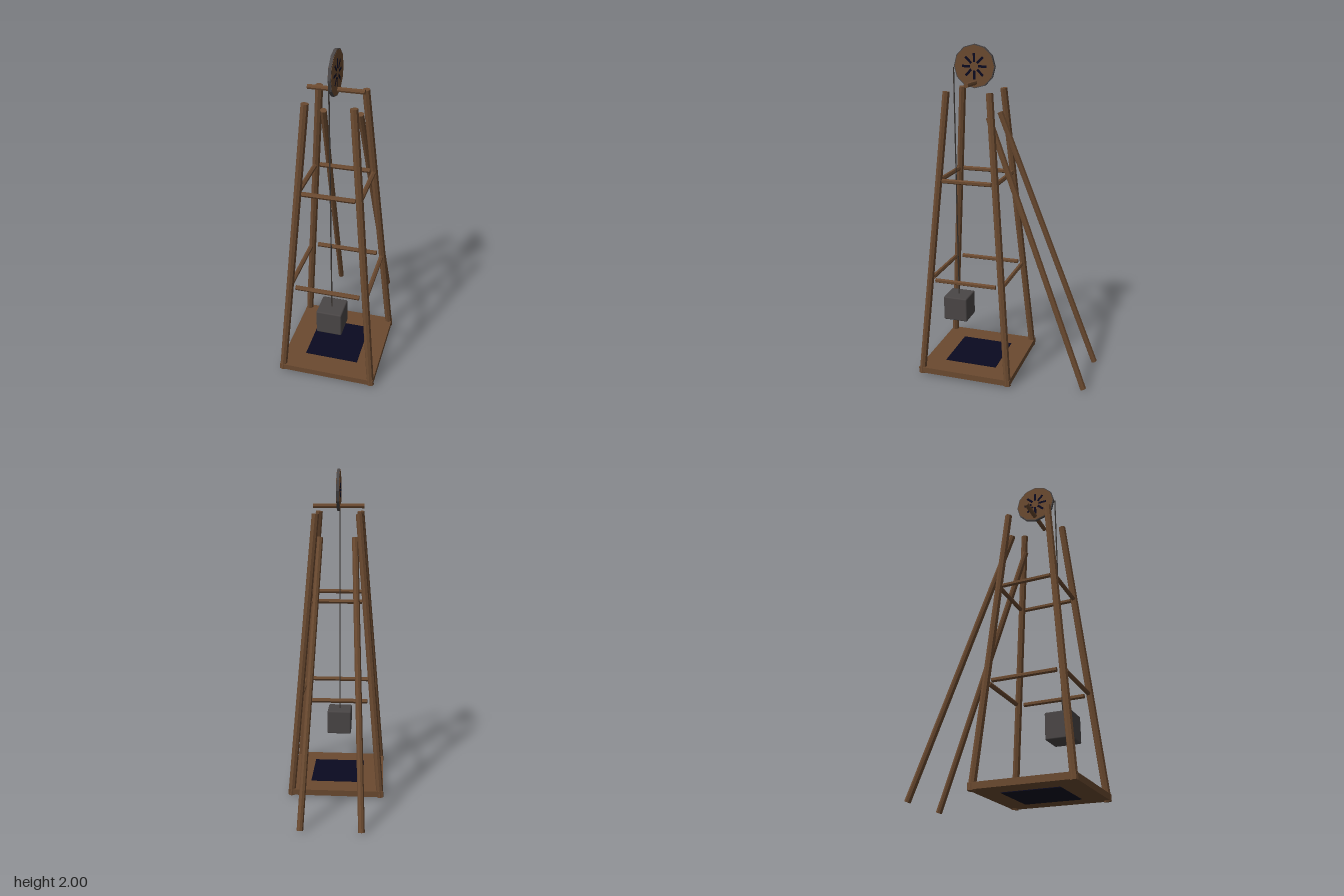
import * as THREE from 'three';
import { RoundedBoxGeometry } from 'three/addons/geometries/RoundedBoxGeometry.js';

const material = (name, color) => {
  const m = new THREE.MeshStandardMaterial({ color });
  m.name = name;
  return m;
};

export function createModel() {
  const wood = material('wood', 0x6b4a30);
  const iron = material('iron', 0x4a4646);
  const ropeMat = material('rope', 0x3c3733);
  const dark = material('darkShaft', 0x0a0a20);

  const model = new THREE.Group();
  model.name = 'mineHeadframe';
  const CZ = 0.22; // tower centre line in z

  const add = (name, geo, mat, x = 0, y = 0, z = 0, parent = model) => {
    const mesh = new THREE.Mesh(geo, mat);
    mesh.name = name;
    mesh.position.set(x, y, z);
    parent.add(mesh);
    return mesh;
  };

  // Faceted pole between two points
  const pole = (name, a, b, radius, sides, mat) => {
    const from = new THREE.Vector3(...a), to = new THREE.Vector3(...b);
    const dir = to.clone().sub(from);
    const geo = new THREE.CylinderGeometry(radius, radius, dir.length(), sides).toNonIndexed();
    geo.computeVertexNormals();
    const mesh = add(name, geo, mat);
    mesh.position.copy(from).add(to).multiplyScalar(0.5);
    mesh.quaternion.setFromUnitVectors(new THREE.Vector3(0, 1, 0), dir.normalize());
    return mesh;
  };

  // Base platform with the dark shaft opening above and below
  add('basePlatform', new THREE.BoxGeometry(0.59, 0.037, 0.59), wood, 0, 0.033, CZ);
  for (const y of [0.013, 0.053]) {
    add('shaftOpening', new THREE.BoxGeometry(0.33, 0.004, 0.33), dark, 0, y, CZ);
  }

  // Four inward-leaning legs and two rear braces
  for (const sx of [-1, 1]) {
    for (const sz of [-1, 1]) {
      pole('leg', [sx * 0.278, 0.01, CZ + sz * 0.278], [sx * 0.13, 1.745, CZ + sz * 0.13], 0.022, 8, wood);
    }
    pole('rearBrace', [sx * 0.175, 0.008, -0.503], [sx * 0.105, 1.605, 0.105], 0.019, 8, wood);
  }

  // Two rings of cross beams: height, distance from centre, half length
  for (const [y, d, h] of [[0.62, 0.227, 0.19], [1.23, 0.175, 0.15]]) {
    for (const s of [-1, 1]) {
      pole('crossBeam', [-h, y, CZ + s * d], [h, y, CZ + s * d], 0.014, 6, wood);
      pole('sideBeam', [s * d, y, CZ - h], [s * d, y, CZ + h], 0.014, 6, wood);
    }
  }

  // Axle and pulley wheel
  pole('axle', [-0.155, 1.785, CZ], [0.155, 1.785, CZ], 0.014, 8, wood);
  const wheel = new THREE.Group();
  wheel.name = 'pulleyWheel';
  wheel.position.set(0, 1.878, CZ + 0.003);
  model.add(wheel);
  const disc = (name, radius, width, mat) => {
    const geo = new THREE.CylinderGeometry(radius, radius, width, 12).toNonIndexed();
    geo.computeVertexNormals();
    add(name, geo, mat, 0, 0, 0, wheel).rotation.z = Math.PI / 2;
  };
  disc('wheelRim', 0.125, 0.016, iron);
  disc('wheelFace', 0.12, 0.019, wood);
  // Dark slots fanned around the hub on both faces
  for (let i = 0; i < 8; i++) {
    const a = (i * Math.PI) / 4;
    const slot = add('wheelSlot', new THREE.BoxGeometry(0.021, 0.05, 0.014), dark,
      0, Math.cos(a) * 0.05, Math.sin(a) * 0.05, wheel);
    slot.rotation.x = a;
  }

  // Hoist rope and hanging load
  pole('hoistRope', [0, 0.44, 0.354], [0, 1.87, 0.354], 0.004, 6, ropeMat);
  add('hoistLoad', new RoundedBoxGeometry(0.155, 0.155, 0.155, 1, 0.008), iron, 0, 0.368, 0.352);

  return model;
}
